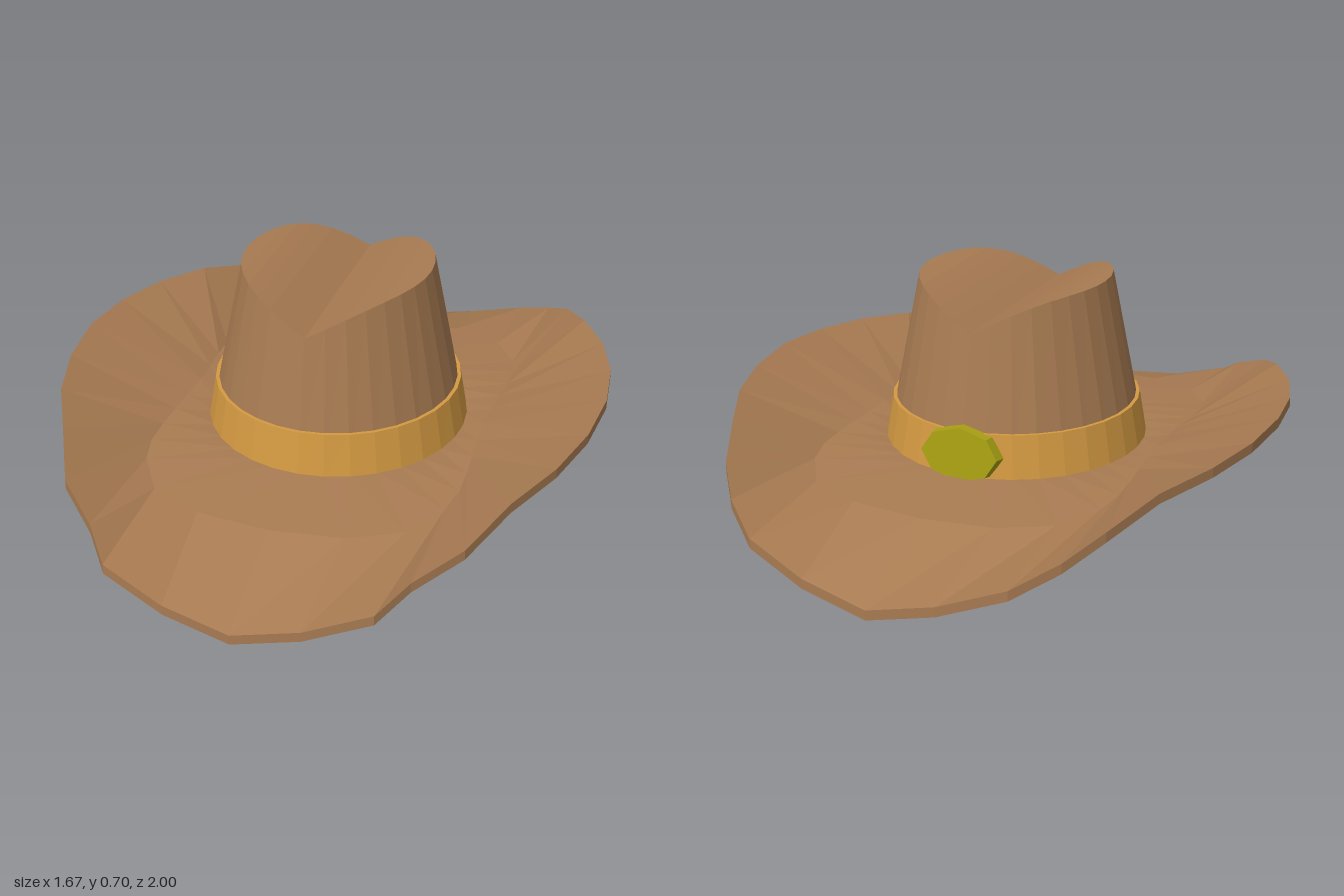
import * as THREE from 'three';

const N = 32; // sides around the hat, angle 0 at the front, rising toward +x

const felt = new THREE.MeshStandardMaterial({ color: 0xa87b52, flatShading: true, side: THREE.DoubleSide });
const gold = new THREE.MeshStandardMaterial({ color: 0xd49a42, flatShading: true });
const brass = new THREE.MeshStandardMaterial({ color: 0xa8a012, flatShading: true });

// a ring of points from a rule of the side number
const ring = (rule) => Array.from({ length: N }, (_, i) => rule(i));

// oval ring at one height
const oval = (rx, rz, y) => ring((i) => {
  const a = (i / N) * Math.PI * 2;
  return [rx * Math.sin(a), y, rz * Math.cos(a)];
});

// ring mirrored out of one quarter (9 points from front centre to the side)
const fromQuarter = (quarter, dy = 0, frontPinch = 0) => ring((i) => {
  const k = i <= 16 ? i : N - i; // right-left mirror
  const q = k <= 8 ? k : 16 - k; // front-back mirror
  const [x, y, z] = quarter[q];
  const pinch = q === 3 ? (k < 8 ? -frontPinch : frontPinch * 0.5) : 0;
  return [(x + pinch) * (i > 16 ? -1 : 1), y + dy, k > 8 ? -z : z];
});

// skin over a stack of rings
function loft(rings) {
  const index = [];
  for (let j = 0; j < rings.length - 1; j++) {
    for (let i = 0; i < N; i++) {
      const n = (i + 1) % N;
      const a = j * N + i, b = j * N + n, c = b + N, d = a + N;
      index.push(a, b, c, a, c, d);
    }
  }
  return build(rings.flat(), index);
}

function build(points, index) {
  const g = new THREE.BufferGeometry();
  g.setAttribute('position', new THREE.Float32BufferAttribute(points.flat(), 3));
  g.setIndex(index);
  g.computeVertexNormals();
  return g;
}

function add(group, name, geometry, material) {
  const mesh = new THREE.Mesh(geometry, material);
  mesh.name = name;
  group.add(mesh);
  return mesh;
}

export function createModel() {
  const hat = new THREE.Group();
  hat.name = 'hat';

  // brim: rolled up at the sides, dipping at front and back
  const edge = [
    [0, 0.03, 1], [0.2, 0.075, 0.985], [0.39, 0.14, 0.94],
    [0.49, 0.2, 0.85], [0.585, 0.26, 0.745], [0.67, 0.315, 0.57],
    [0.76, 0.335, 0.39], [0.815, 0.347, 0.2], [0.835, 0.355, 0],
  ];
  const shoulder = [
    [0, 0.165, 0.68], [0.22, 0.168, 0.66], [0.38, 0.175, 0.59],
    [0.46, 0.185, 0.46], [0.48, 0.195, 0.37], [0.48, 0.2, 0.28],
    [0.475, 0.205, 0.19], [0.47, 0.207, 0.1], [0.465, 0.21, 0],
  ];
  add(hat, 'brim', loft([
    oval(0.367, 0.38, 0.32), // sweat band inside the crown
    oval(0.35, 0.355, 0.075),
    oval(0.47, 0.46, 0.075),
    fromQuarter(edge, -0.03, 0.025),
    fromQuarter(edge, 0, 0.025),
    fromQuarter(shoulder),
    oval(0.385, 0.395, 0.19),
  ]), felt);

  // crown wall: tapers upward, its rim dips at front and back
  const rim = ring((i) => {
    const a = (i / N) * Math.PI * 2;
    const y = 0.6 + 0.105 * Math.sin(Math.abs(Math.sin(a)) * Math.PI / 2);
    const t = (y - 0.19) / 0.515;
    const rx = 0.395 - 0.105 * t, rz = 0.405 - 0.088 * t;
    return [rx * Math.sin(a), y, rz * Math.cos(a)];
  });
  add(hat, 'crown', loft([oval(0.395, 0.405, 0.19), rim]), felt);

  // creased top: straight strips from the front rim to the back rim
  const strips = [];
  for (let k = -8; k < 8; k++) {
    const [a, b, c, d] = [k, k + 1, 15 - k, 16 - k].map((i) => (i + N) % N);
    strips.push(a, b, c, a, c, d);
  }
  add(hat, 'crownTop', build(rim, strips), felt);

  // band around the foot of the crown
  add(hat, 'band', loft([
    oval(0.404, 0.412, 0.185),
    oval(0.38, 0.393, 0.32),
    oval(0.36, 0.37, 0.32),
  ]), gold);

  // eight-sided buckle at the back, leaning with the band
  const plate = new THREE.CylinderGeometry(0.95, 1, 0.035, 8).rotateX(-Math.PI / 2);
  const buckle = add(hat, 'buckle', plate, brass);
  buckle.scale.set(0.128, 0.085, 1);
  buckle.position.set(0, 0.255, -0.402);
  buckle.rotation.x = 0.1;

  return hat;
}
